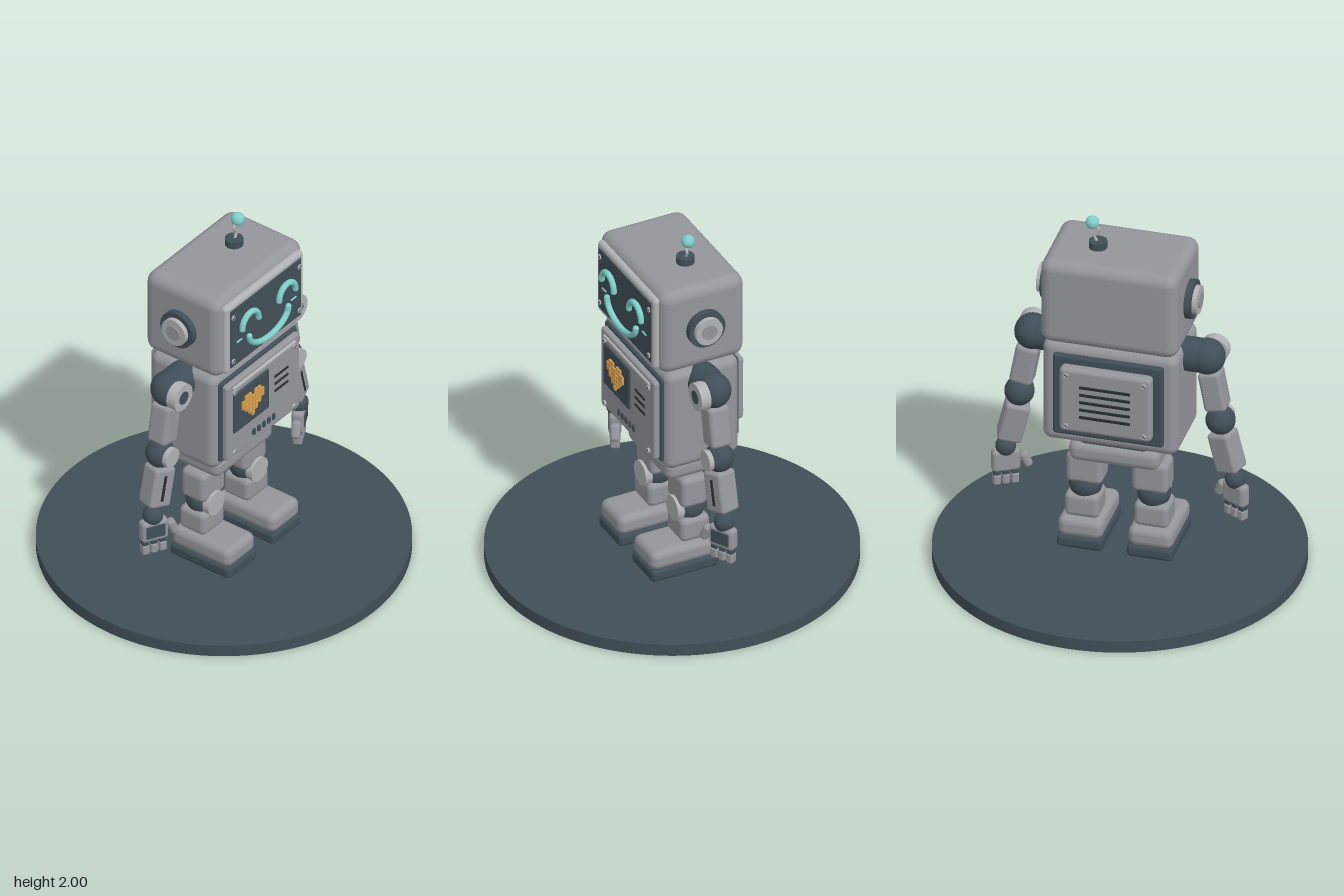
import * as THREE from 'three';
import { RoundedBoxGeometry } from 'three/addons/geometries/RoundedBoxGeometry.js';

const mat = (name, color) => Object.assign(new THREE.MeshStandardMaterial({ color }), { name });

export function createModel() {
  const body = mat('body grey', 0x94969c);
  const light = mat('light grey', 0xb0b2b5);
  const dark = mat('dark slate', 0x414e57);
  const slot = mat('slot black', 0x262d33);
  const teal = mat('teal glow', 0x7fcfca);
  const amber = mat('amber', 0xd9a04e);
  const robot = new THREE.Group();
  robot.name = 'robot';

  // helpers: each adds one named mesh to a parent
  const add = (parent, name, geo, material, x = 0, y = 0, z = 0) => {
    const m = new THREE.Mesh(geo, material);
    m.name = name;
    m.position.set(x, y, z);
    parent.add(m);
    return m;
  };
  const box = (p, name, m, w, h, d, x, y, z, r = 0.02) =>
    add(p, name, new RoundedBoxGeometry(w, h, d, 3, Math.min(r, w * 0.49, h * 0.49, d * 0.49)), m, x, y, z);
  const ball = (p, name, m, r, x, y, z) => add(p, name, new THREE.SphereGeometry(r, 32, 20), m, x, y, z);
  const disc = (p, name, m, r, len, x, y, z, axis = 'z') => {
    const geo = new THREE.CylinderGeometry(r, r, len, 40);
    if (axis === 'z') geo.rotateX(Math.PI / 2);
    if (axis === 'x') geo.rotateZ(Math.PI / 2);
    return add(p, name, geo, m, x, y, z);
  };
  const tube = (p, name, m, curve, r) => add(p, name, new THREE.TubeGeometry(curve, 40, r, 12), m);
  const group = (name, parent = robot) => {
    const g = new THREE.Group();
    g.name = name;
    parent.add(g);
    return g;
  };
  // limb segment with a tilt outwards and a turn about its own length
  const segment = (name, parent, x, y, z, tilt, turn) => {
    const g = group(name, parent);
    g.position.set(x, y, z);
    g.rotation.set(0, turn, tilt, 'ZYX');
    return g;
  };
  // four slotted screws at the corners of a panel
  const screws = (p, dx, y0, y1, z) => {
    for (const x of [-dx, dx]) for (const y of [y0, y1]) {
      disc(p, 'screw', light, 0.014, 0.016, x, y, z);
      const s = add(p, 'screwSlot', new THREE.BoxGeometry(0.022, 0.004, 0.018), slot, x, y, z);
      s.rotation.z = 0.6;
    }
  };

  // display base
  disc(robot, 'base', dark, 0.955, 0.066, 0, 0.033, 0, 'y').geometry =
    new THREE.CylinderGeometry(0.955, 0.955, 0.066, 96);

  // head with face screen
  const head = group('head');
  box(head, 'headShell', body, 0.725, 0.485, 0.48, 0, 1.582, 0, 0.06);
  box(head, 'faceFrame', light, 0.645, 0.42, 0.05, 0, 1.58, 0.24, 0.022);
  box(head, 'faceScreen', dark, 0.59, 0.36, 0.03, 0, 1.58, 0.255, 0.006);
  screws(head, 0.275, 1.715, 1.44, 0.268);
  const arc = (pts) => new THREE.CatmullRomCurve3(pts.map(([x, y]) => new THREE.Vector3(x, y, 0.288)));
  const stroke = (name, pts) => {
    tube(head, name, teal, arc(pts), 0.016);
    for (const [x, y] of [pts[0], pts.at(-1)]) ball(head, name + 'End', teal, 0.016, x, y, 0.288);
  };
  for (const s of [-1, 1]) {
    const pts = [];
    for (let i = 0; i <= 10; i++) {
      const a = Math.PI * i / 10;
      pts.push([s * 0.153 + 0.068 * Math.cos(a), 1.617 + 0.07 * Math.sin(a)]);
    }
    stroke('eye', pts);
    box(head, 'cheekMark', teal, 0.045, 0.009, 0.009, s * 0.226, 1.543, 0.272, 0.003);
  }
  const smile = [];
  for (let i = 0; i <= 12; i++) {
    const a = Math.PI * (1 + i / 12);
    smile.push([0.162 * Math.cos(a), 1.54 + 0.094 * Math.sin(a)]);
  }
  stroke('smile', smile);

  // ears
  for (const s of [-1, 1]) {
    disc(head, 'earCup', dark, 0.103, 0.06, s * 0.367, 1.584, 0, 'x');
    disc(head, 'earRing', light, 0.076, 0.04, s * 0.402, 1.584, 0, 'x');
    disc(head, 'earButton', body, 0.042, 0.02, s * 0.419, 1.584, 0, 'x');
  }

  // antenna
  const antenna = group('antenna');
  disc(antenna, 'antennaMount', dark, 0.047, 0.045, 0.11, 1.84, -0.02, 'y');
  const zig = new THREE.CurvePath();
  const bends = [[0.115, 1.855], [0.132, 1.89], [0.103, 1.925], [0.14, 1.965]]
    .map(([x, y]) => new THREE.Vector3(x, y, -0.02));
  for (let i = 0; i < 3; i++) zig.add(new THREE.LineCurve3(bends[i], bends[i + 1]));
  tube(antenna, 'antennaRod', light, zig, 0.008);
  ball(antenna, 'antennaBall', teal, 0.035, 0.14, 1.966, -0.02);

  // torso and chest panel
  const torso = group('torso');
  box(torso, 'torsoShell', body, 0.715, 0.585, 0.42, 0, 1.043, 0, 0.05);
  box(torso, 'chestBorder', dark, 0.64, 0.495, 0.05, 0, 1.047, 0.2, 0.015);
  box(torso, 'chestPanel', body, 0.605, 0.465, 0.05, 0, 1.043, 0.23, 0.015);
  box(torso, 'chestTrim', light, 0.52, 0.022, 0.02, 0, 1.245, 0.256, 0.009);
  screws(torso, 0.247, 1.222, 0.842, 0.258);
  box(torso, 'heartScreen', dark, 0.29, 0.245, 0.02, -0.11, 1.085, 0.254, 0.008);
  const heart = group('heart', torso);
  ['.##.##.', '#######', '#######', '.#####.', '..###..', '...#...'].forEach((row, j) =>
    [...row].forEach((c, i) => c === '#' && add(heart, 'heartPixel', new THREE.BoxGeometry(0.022, 0.021, 0.012),
      amber, -0.108 + (i - 3) * 0.026, 1.145 - j * 0.0255, 0.268)));
  for (const y of [1.12, 1.075, 1.03]) box(torso, 'chestVent', slot, 0.115, 0.015, 0.012, 0.145, y, 0.254, 0.005);
  for (let i = -2; i <= 2; i++) box(torso, 'chestKey', dark, 0.023, 0.038, 0.018, i * 0.041 - 0.003, 0.878, 0.256, 0.007);

  // back panel
  box(torso, 'backBorder', dark, 0.58, 0.47, 0.05, 0, 1.05, -0.212, 0.015);
  box(torso, 'backPanel', body, 0.485, 0.375, 0.07, 0, 1.055, -0.257, 0.025);
  for (let i = -2; i <= 2; i++) box(torso, 'backVent', slot, 0.27, 0.017, 0.012, 0, 1.055 + i * 0.044, -0.291, 0.005);
  screws(torso, 0.205, 1.205, 0.905, -0.289);

  // waist and pelvis
  box(robot, 'waist', dark, 0.35, 0.1, 0.24, 0, 0.735, 0, 0.02);
  box(robot, 'pelvis', body, 0.48, 0.115, 0.285, 0, 0.657, 0, 0.045);

  for (const s of [-1, 1]) {
    const side = s > 0 ? 'left' : 'right';

    // leg
    const leg = group(side + 'Leg');
    box(leg, 'thigh', body, 0.19, 0.175, 0.15, s * 0.173, 0.52, 0, 0.03);
    ball(leg, 'knee', dark, 0.086, s * 0.18, 0.405, 0);
    disc(leg, 'kneeCap', light, 0.068, 0.05, s * 0.18, 0.405, 0.066);
    box(leg, 'shin', body, 0.182, 0.135, 0.165, s * 0.183, 0.302, 0, 0.03);
    box(leg, 'foot', body, 0.235, 0.11, 0.375, s * 0.185, 0.182, 0.075, 0.04);
    box(leg, 'sole', dark, 0.242, 0.07, 0.382, s * 0.185, 0.101, 0.075, 0.022);

    // shoulder
    const arm = group(side + 'Arm');
    disc(arm, 'shoulderAxle', dark, 0.09, 0.14, s * 0.39, 1.256, 0, 'x');
    ball(arm, 'shoulder', dark, 0.094, s * 0.46, 1.256, 0);
    disc(arm, 'shoulderDisc', light, 0.075, 0.055, s * 0.478, 1.255, 0.082);
    disc(arm, 'shoulderBolt', dark, 0.036, 0.008, s * 0.478, 1.255, 0.109);

    // upper arm and elbow
    const upper = segment('upperArm', arm, s * 0.497, 1.07, 0, s * 0.18, 0);
    box(upper, 'upperArmShell', body, 0.118, 0.225, 0.118, 0, 0, 0, 0.022);
    ball(arm, 'elbow', dark, 0.077, s * 0.53, 0.89, 0);
    disc(arm, 'elbowCap', light, 0.055, 0.04, s * 0.53, 0.89, 0.06);

    // forearm
    const fore = segment('forearm', arm, s * 0.562, 0.713, 0.005, s * 0.24, s * 0.3);
    box(fore, 'forearmShell', body, 0.128, 0.225, 0.118, 0, 0, 0, 0.02);
    box(fore, 'forearmSlot', slot, 0.018, 0.145, 0.012, 0, 0, 0.057, 0.005);
    ball(arm, 'wrist', dark, 0.053, s * 0.605, 0.545, 0.01);

    // hand, turned outwards
    const hand = segment('hand', arm, s * 0.607, 0.462, 0.015, 0, s * 0.5);
    box(hand, 'palm', body, 0.148, 0.125, 0.065, 0, 0, 0, 0.022);
    box(hand, 'handPlate', dark, 0.105, 0.075, 0.009, 0, 0.003, 0.032, 0.004);
    for (let i = -1; i <= 1; i++) {
      box(hand, 'knuckle', dark, 0.036, 0.04, 0.04, i * 0.047, -0.07, 0, 0.008);
      box(hand, 'finger', body, 0.042, 0.062, 0.05, i * 0.047, -0.11, 0, 0.013);
    }
    const thumb = box(hand, 'thumb', body, 0.048, 0.095, 0.05, -s * 0.105, -0.012, 0, 0.02);
    thumb.rotation.z = -s * 0.4;
  }
  return robot;
}
